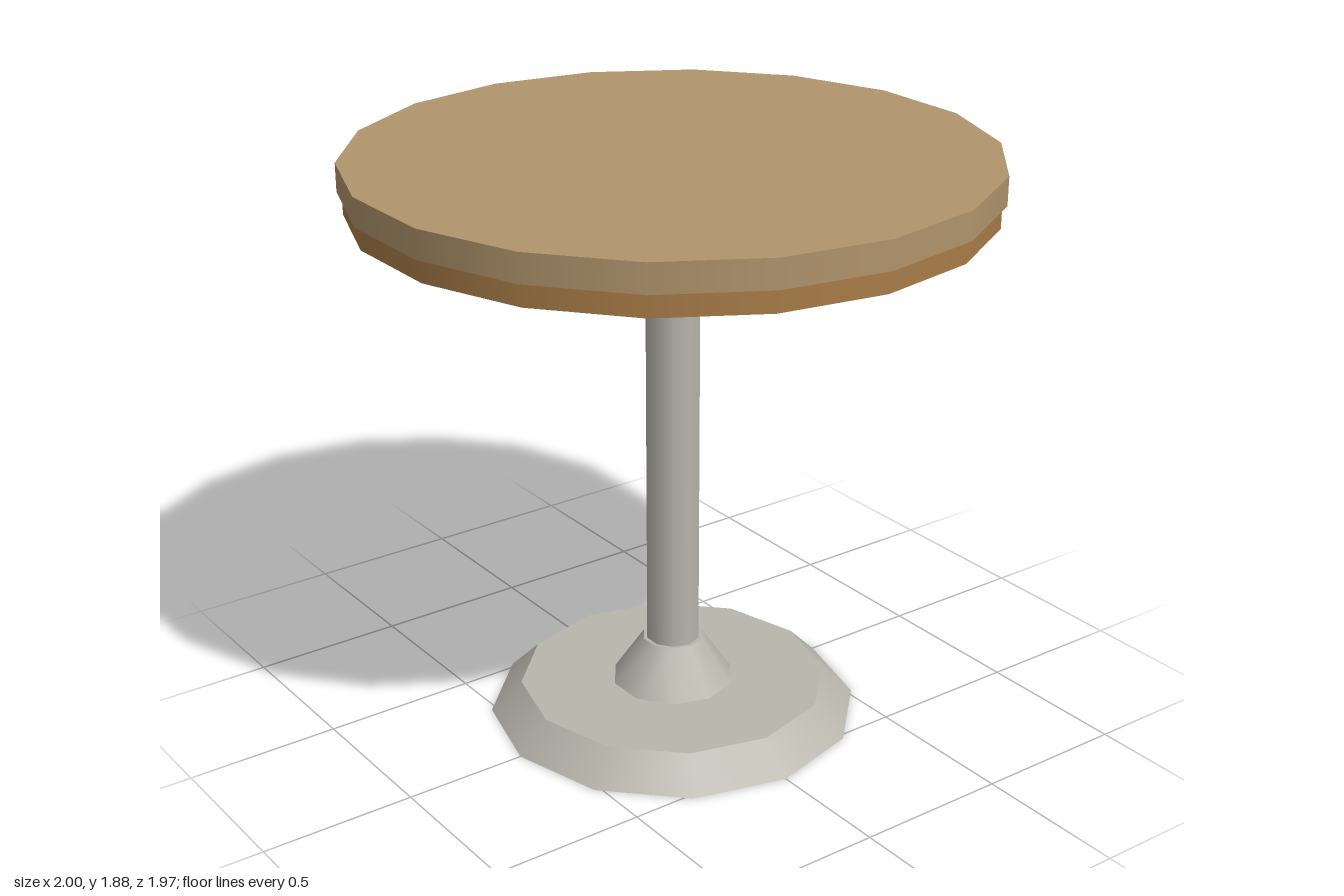
import * as THREE from 'three';

export function createModel() {
  const group = new THREE.Group();
  const material = (color) => new THREE.MeshStandardMaterial({ color });
  const topWood = material(0xb0946c);
  const apronWood = material(0xa87c48);
  const metal = material(0xb8b5ac);

  // Round part between two heights, with a corner on the x axis
  function disc(name, bottomRadius, topRadius, y0, y1, sides, mat) {
    const geometry = new THREE.CylinderGeometry(topRadius, bottomRadius, y1 - y0, sides);
    geometry.rotateY(Math.PI / 2);
    geometry.translate(0, (y0 + y1) / 2, 0);
    const mesh = new THREE.Mesh(geometry, mat);
    mesh.name = name;
    group.add(mesh);
  }

  // Pedestal
  disc('base', 0.6, 0.5, 0, 0.1, 12, metal);
  disc('lowerCollar', 0.2, 0.1, 0.1, 0.25, 10, metal);
  disc('column', 0.088, 0.088, 0.25, 1.59, 10, metal);
  disc('upperCollar', 0.25, 0.12, 1.59, 1.72, 10, metal);

  // Table top
  disc('apron', 0.985, 0.985, 1.72, 1.79, 18, apronWood);
  disc('tableTop', 1, 1, 1.79, 1.88, 18, topWood);

  return group;
}
